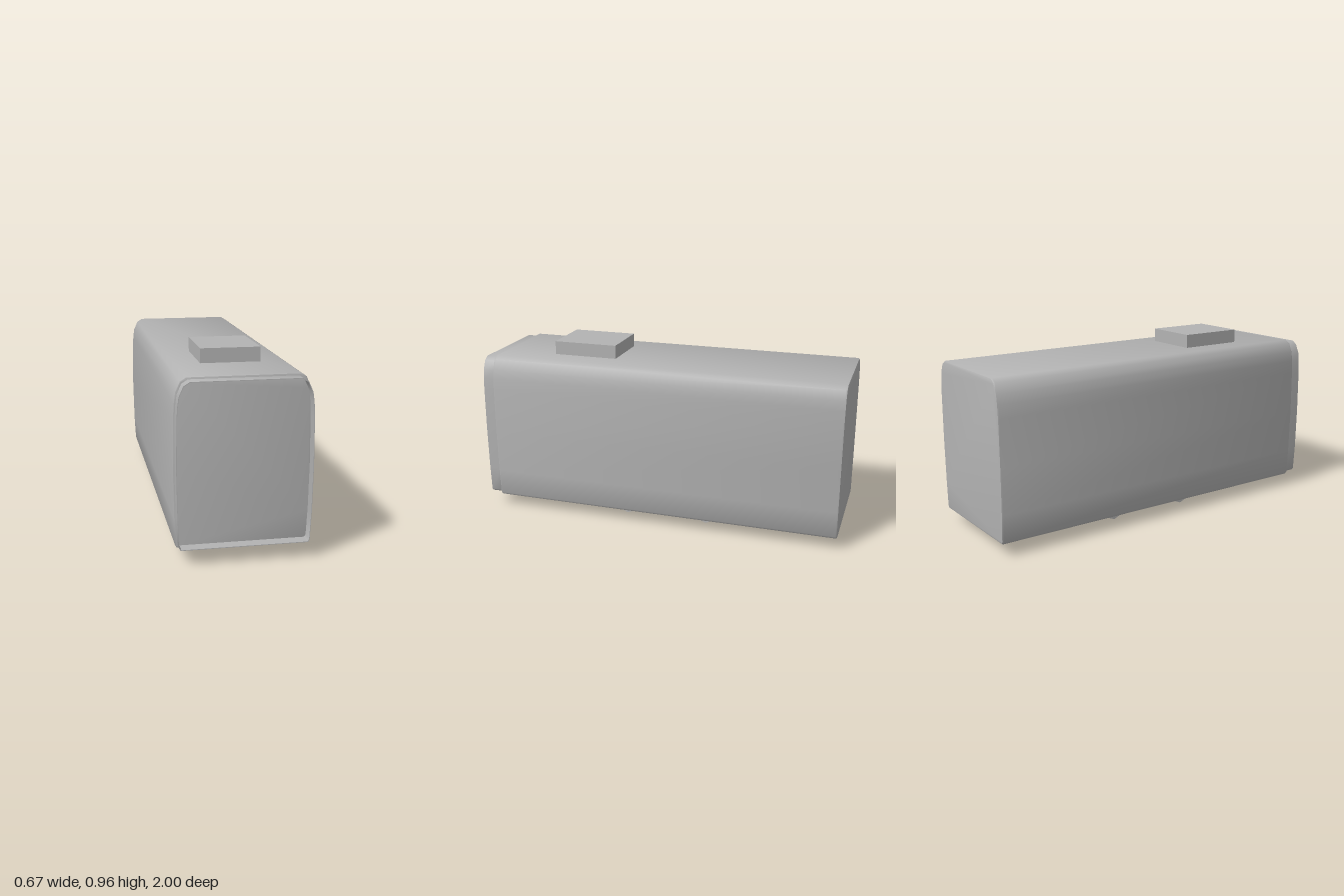
import * as THREE from 'three';
import { toCreasedNormals } from 'three/addons/utils/BufferGeometryUtils.js';

// Right half of the carriage cross-section, bottom to top
const PROFILE = [
  [0.314, 0.068], [0.322, 0.08], [0.329, 0.22], [0.333, 0.46], [0.33, 0.7],
  [0.326, 0.77], [0.319, 0.82], [0.297, 0.87], [0.267, 0.889],
];
const CENTRE_Y = 0.48;

// Closed, mirrored outline scaled about the section centre
function outline(scale) {
  const half = PROFILE.map(([x, y]) => [x * scale, CENTRE_Y + (y - CENTRE_Y) * scale]);
  const mirrored = half.map(([x, y]) => [-x, y]).reverse();
  return [...half, ...mirrored].map(([x, y]) => new THREE.Vector2(x, y));
}

export function createModel() {
  const group = new THREE.Group();
  const grey = new THREE.MeshStandardMaterial({ color: 0xb3b3b3 });
  grey.name = 'plain grey';

  const add = (name, geometry, x = 0, y = 0, z = 0) => {
    const mesh = new THREE.Mesh(geometry, grey);
    mesh.name = name;
    mesh.position.set(x, y, z);
    group.add(mesh);
  };

  // Long body shell with small bevels at both ends
  const bevel = 0.01;
  const body = new THREE.ExtrudeGeometry(new THREE.Shape(outline(1)), {
    depth: 1.94 - 2 * bevel, bevelEnabled: true, bevelSize: bevel,
    bevelThickness: bevel, bevelOffset: -bevel, bevelSegments: 2,
  });
  add('body', toCreasedNormals(body, 0.75), 0, 0, -1 + bevel);

  // Thin open collar around the recessed front end
  const collarShape = new THREE.Shape(outline(0.972));
  collarShape.holes.push(new THREE.Path(outline(0.964)));
  const collar = new THREE.ExtrudeGeometry(collarShape, { depth: 0.07, bevelEnabled: false });
  add('frontCollar', toCreasedNormals(collar, 0.75), 0, 0, 0.93);

  // Roof unit
  add('roofUnit', new THREE.BoxGeometry(0.3, 0.08, 0.355), 0, 0.922, 0.4525);

  // Half-exposed wheels and the thin rails beside them
  const wheelShape = new THREE.Shape([
    [-0.07, 0.075], [-0.07, 0.064], [-0.052, 0.022], [0, 0],
    [0.052, 0.022], [0.07, 0.064], [0.07, 0.075],
  ].map(([z, y]) => new THREE.Vector2(z, y)));
  for (const side of [-1, 1]) {
    for (const z of [0.2, -0.26]) {
      const wheel = new THREE.ExtrudeGeometry(wheelShape, { depth: 0.024, bevelEnabled: false });
      wheel.translate(0, 0, -0.012);
      wheel.rotateY(Math.PI / 2);
      add('wheel', wheel, side * 0.19, 0, z);
    }
    add('underRail', new THREE.BoxGeometry(0.03, 0.01, 0.6), side * 0.213, 0.069, -0.03);
  }
  return group;
}
